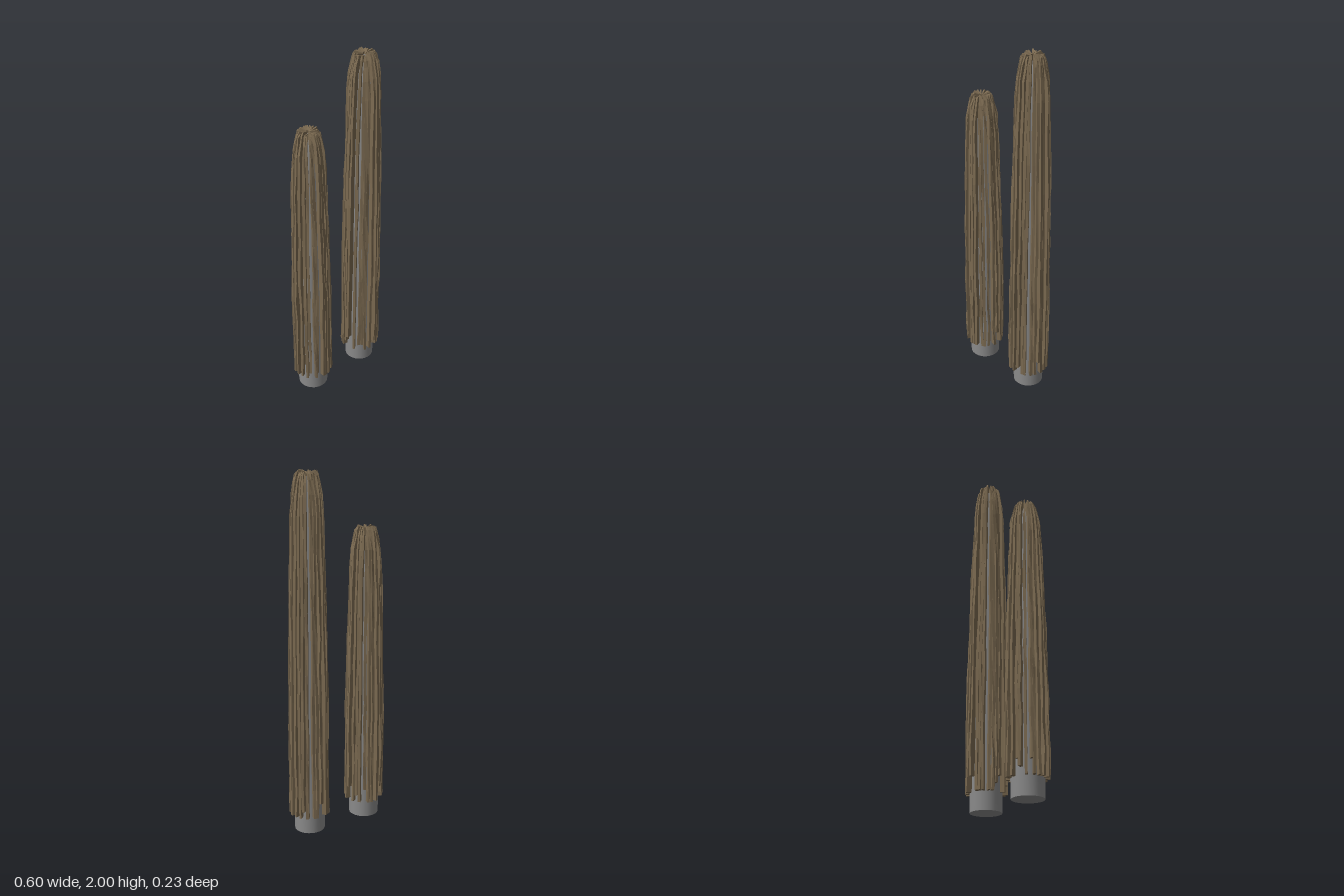
import * as THREE from 'three';
import { toCreasedNormals } from 'three/addons/utils/BufferGeometryUtils.js';

const coreGrey = new THREE.MeshStandardMaterial({ color: 0x8a8a8a });
coreGrey.name = 'coreGrey';
const barkBrown = new THREE.MeshStandardMaterial({ color: 0x7a6950 });
barkBrown.name = 'barkBrown';

// Small seeded random in -1..1
function seeded(seed) {
  let s = seed;
  return () => {
    s = (s * 16807) % 2147483647;
    return (s / 2147483647) * 2 - 1;
  };
}

// Piecewise linear lookup in a list of [y, radius]
function lookup(profile, y) {
  for (let i = 1; i < profile.length; i++) {
    const [y0, r0] = profile[i - 1], [y1, r1] = profile[i];
    if (y <= y1) return r0 + (r1 - r0) * Math.max(0, (y - y0) / (y1 - y0));
  }
  return profile[profile.length - 1][1];
}

// One upright ragged fin: four-cornered sections stacked from bottom to tip
function finGeometry(angle, bottom, top, outer, inner, rand) {
  const levels = [];
  const straight = 10;
  for (let i = 0; i <= straight; i++) levels.push(bottom + (top - 0.22 - bottom) * i / straight);
  levels.push(top - 0.12, top - 0.05, top - 0.018, top);
  const lean = rand() * 0.09;
  const sections = levels.map((y, i) => {
    const last = i === levels.length - 1;
    const rOut = lookup(outer, y) + rand() * (last ? 0.005 : 0.0035);
    const rIn = lookup(inner, y) - 0.014;
    const a = angle + rand() * 0.035;
    const half = 0.0075 * Math.min(1, rOut / 0.095) + rand() * 0.001;
    const corner = (r, side, turn, dy) => {
      const c = Math.cos(a + turn), s = Math.sin(a + turn);
      return [r * c - side * s, y + dy, r * s + side * c];
    };
    const drop = last ? -0.012 : 0;
    return [
      corner(rIn, -half * 0.8, 0, drop),
      corner(rOut, -half, lean, 0),
      corner(rOut + rand() * 0.004, half, lean, 0),
      corner(rIn, half * 0.8, 0, drop),
    ];
  });
  const pos = [];
  const quad = (a, b, c, d) => pos.push(...a, ...b, ...c, ...a, ...c, ...d);
  for (let i = 1; i < sections.length; i++) {
    const lo = sections[i - 1], hi = sections[i];
    for (let k = 0; k < 4; k++) {
      const n = (k + 1) % 4;
      quad(lo[k], hi[k], hi[n], lo[n]);
    }
  }
  const [a, b, c, d] = sections[0];
  quad(a, b, c, d);
  const [e, f, g, h] = sections[sections.length - 1];
  quad(h, g, f, e);
  const geo = new THREE.BufferGeometry();
  geo.setAttribute('position', new THREE.Float32BufferAttribute(pos, 3));
  geo.computeVertexNormals();
  return geo;
}

function column(name, x, height, seed) {
  const group = new THREE.Group();
  group.name = name;
  group.position.x = x;
  const rand = seeded(seed);

  // Tapering core with a rounded top
  const inner = [
    [0, 0.085], [0.2, 0.087], [height * 0.5, 0.08], [height - 0.3, 0.068],
    [height - 0.12, 0.055], [height - 0.06, 0.042], [height - 0.035, 0.024],
  ];
  const points = [
    new THREE.Vector2(0, 0),
    ...inner.map(([y, r]) => new THREE.Vector2(r, y)),
    new THREE.Vector2(0, height - 0.027),
  ];
  const core = new THREE.Mesh(toCreasedNormals(new THREE.LatheGeometry(points, 20), 0.9), coreGrey);
  core.name = 'core';
  group.add(core);

  // Ring of bark fins
  const outer = [
    [0.1, 0.112], [0.6, 0.111], [height * 0.6, 0.102], [height - 0.22, 0.088],
    [height - 0.12, 0.08], [height - 0.05, 0.067], [height - 0.018, 0.055], [height, 0.042],
  ];
  const count = 26;
  const starts = [0.1, 0.1, 0.14, 0.1, 0.18, 0.14, 0.1];
  for (let i = 0; i < count; i++) {
    const angle = (i + rand() * 0.18) / count * Math.PI * 2;
    const bottom = starts[Math.floor((rand() + 1) * 3.49)];
    const top = height - 0.01 + rand() * 0.01;
    const fin = new THREE.Mesh(finGeometry(angle, bottom, top, outer, inner, rand), barkBrown);
    fin.name = 'barkFin' + (i + 1);
    group.add(fin);
  }
  return group;
}

export function createModel() {
  const model = new THREE.Group();
  model.name = 'barkColumns';
  model.add(column('shortColumn', -0.188, 1.69, 4711));
  model.add(column('tallColumn', 0.185, 2.0, 90210));
  return model;
}
